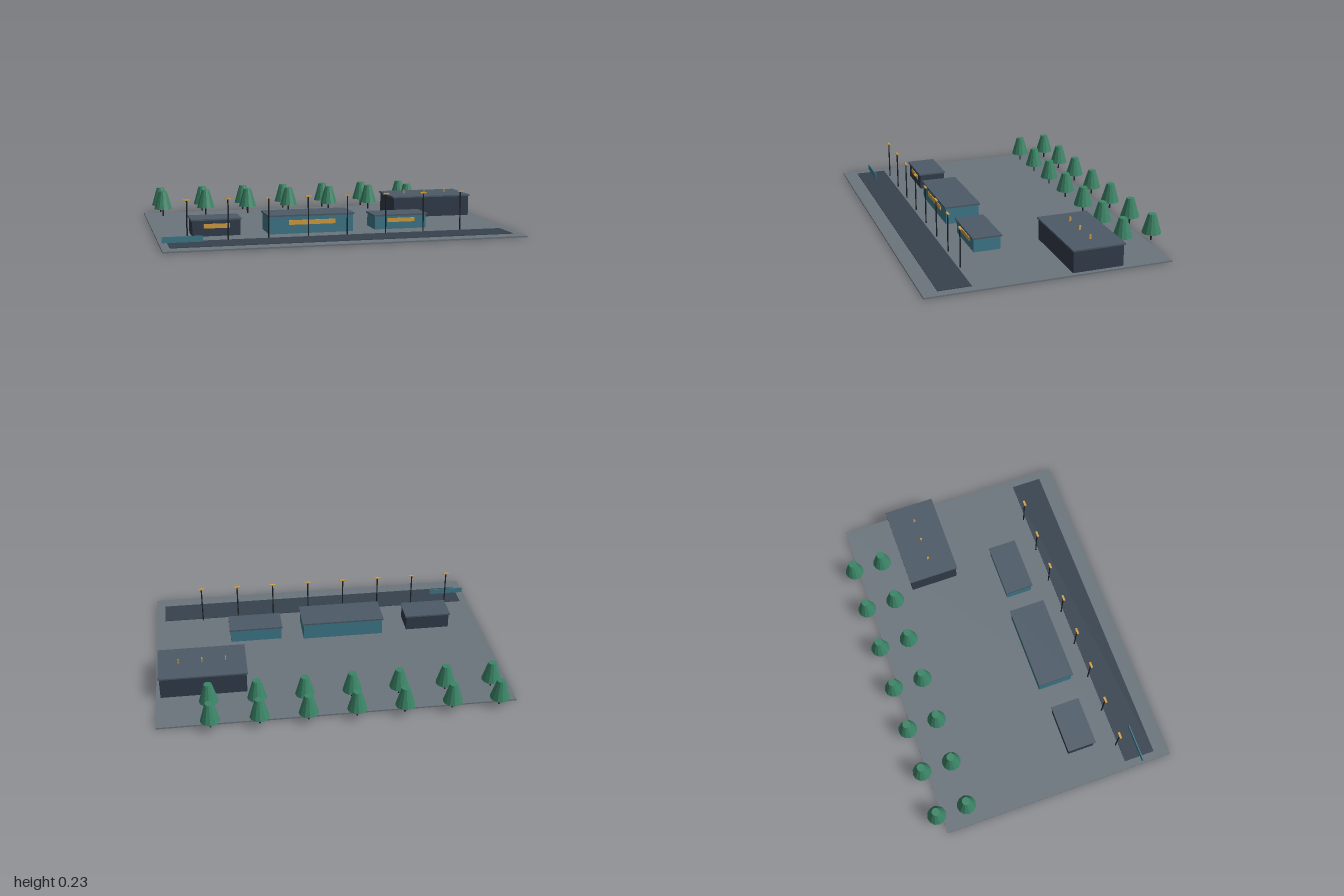
import * as THREE from 'three';

const mat = (color) => new THREE.MeshStandardMaterial({ color });
const M = {
  ground: mat(0x6b747d), road: mat(0x36424e), teal: mat(0x3f7a8c), dark: mat(0x323d4c),
  roof: mat(0x4d5b68), amber: mat(0xd9a040), pole: mat(0x20262c), leaf: mat(0x3b8567),
};
M.leaf.flatShading = true;

// Box given by its extents on each axis
function box(parent, name, material, [x0, x1], [y0, y1], [z0, z1]) {
  const mesh = new THREE.Mesh(new THREE.BoxGeometry(x1 - x0, y1 - y0, z1 - z0), material);
  mesh.position.set((x0 + x1) / 2, (y0 + y1) / 2, (z0 + z1) / 2);
  mesh.name = name;
  parent.add(mesh);
}

// Upright tapered cylinder from y0 to y1
function post(parent, name, material, rTop, rBottom, y0, y1, sides) {
  const mesh = new THREE.Mesh(new THREE.CylinderGeometry(rTop, rBottom, y1 - y0, sides), material);
  mesh.position.y = (y0 + y1) / 2;
  mesh.name = name;
  parent.add(mesh);
}

function group(parent, name, x = 0, z = 0) {
  const g = new THREE.Group();
  g.name = name;
  g.position.set(x, 0, z);
  parent.add(g);
  return g;
}

const GROUND = 0.008;

// Walls, overhanging flat roof and optional lit window strip on the front
function building(parent, name, wall, [x0, x1], [z0, z1], top, win) {
  const g = group(parent, name);
  const o = 0.007, eave = top - 0.009;
  box(g, 'walls', wall, [x0 + o, x1 - o], [GROUND, eave], [z0 + o, z1 - o]);
  box(g, 'roof', M.roof, [x0, x1], [eave, top], [z0, z1]);
  if (win) box(g, 'window', M.amber, win.x, win.y, [z1 - o - 0.002, z1 - o + 0.004]);
  return g;
}

export function createModel() {
  const model = new THREE.Group();
  model.name = 'site';

  box(model, 'ground', M.ground, [-1, 1], [0, GROUND], [-0.65, 0.72]);
  box(model, 'road', M.road, [-0.955, 0.95], [GROUND, 0.011], [0.455, 0.635]);

  // Front row of buildings and the rear hall
  building(model, 'leftCabin', M.dark, [-0.81, -0.53], [0.152, 0.321], 0.105,
    { x: [-0.74, -0.595], y: [0.052, 0.077] });
  building(model, 'mainBuilding', M.teal, [-0.387, 0.113], [0.13, 0.344], 0.115,
    { x: [-0.267, 0], y: [0.058, 0.084] });
  building(model, 'rightCabin', M.teal, [0.235, 0.556], [0.152, 0.321], 0.093,
    { x: [0.315, 0.48], y: [0.048, 0.071] });
  const hall = building(model, 'rearHall', M.dark, [0.48, 0.982], [-0.38, -0.08], 0.138);
  for (const x of [0.597, 0.731, 0.865])
    box(hall, 'roofVent', M.amber, [x - 0.003, x + 0.003], [0.138, 0.162], [-0.235, -0.223]);

  // Raised barrier board at the road's end
  box(model, 'barrier', M.teal, [-0.99, -0.773], [0.022, 0.054], [0.546, 0.552]);

  // Street lamps along the road
  for (let i = 0; i < 8; i++) {
    const lamp = group(model, 'streetLamp', -0.845 + i * 0.2222, 0.44);
    post(lamp, 'pole', M.pole, 0.004, 0.004, GROUND, 0.226, 8);
    box(lamp, 'lampHead', M.amber, [-0.018, 0.018], [0.226, 0.232], [-0.006, 0.006]);
  }

  // Two rows of trees at the back
  for (const z of [-0.676, -0.498])
    for (let i = 0; i < 7; i++) {
      const tree = group(model, 'tree', -0.892 + i * 0.2665, z);
      post(tree, 'trunk', M.pole, 0.005, 0.005, GROUND, 0.06, 8);
      post(tree, 'foliage', M.leaf, 0.023, 0.055, 0.053, 0.164, 12);
    }

  return model;
}
